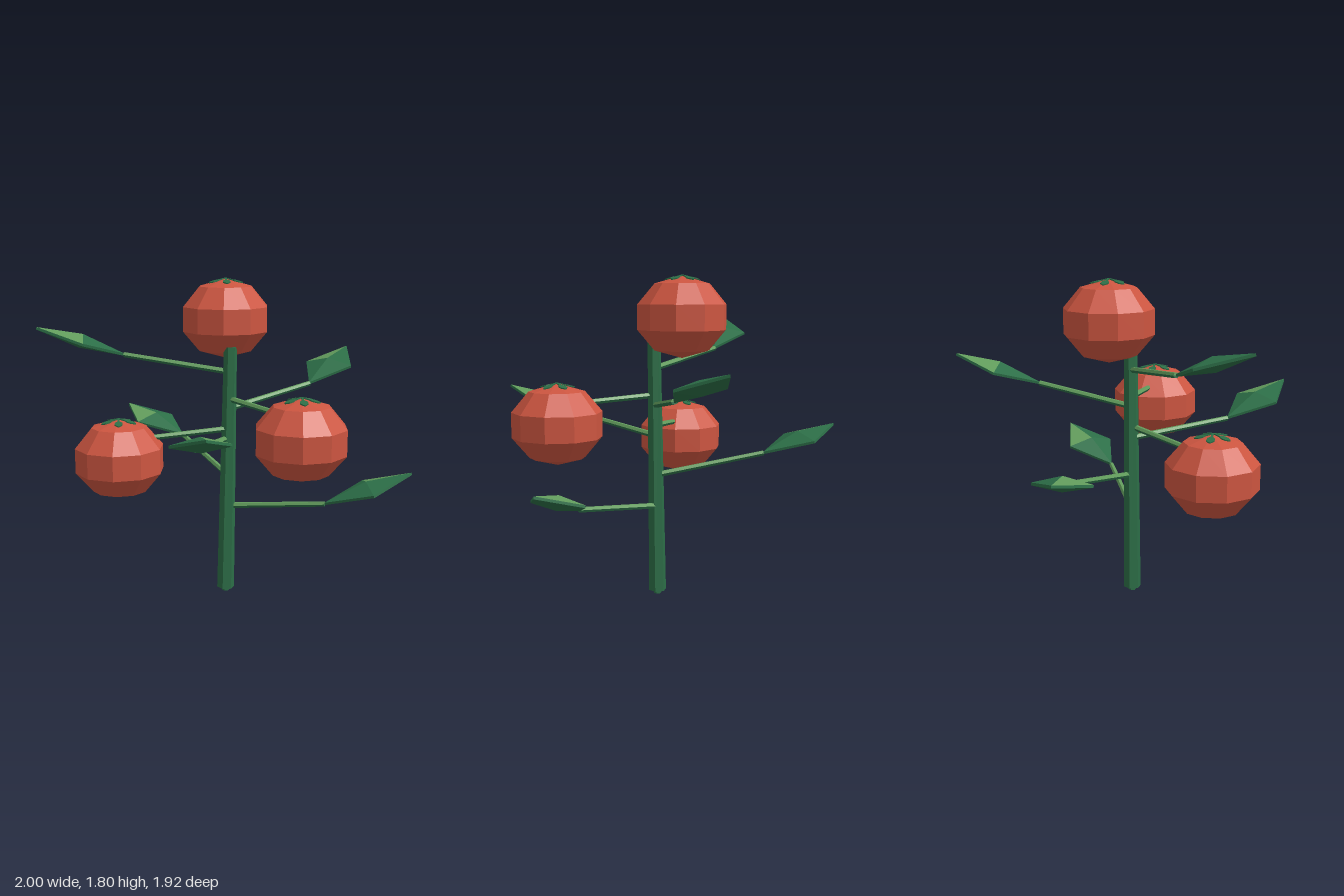
import * as THREE from 'three';

const mat = (name, color, side = THREE.FrontSide) => {
  const m = new THREE.MeshStandardMaterial({ color, flatShading: true, side });
  m.name = name;
  return m;
};
const V = (x, y, z) => new THREE.Vector3(x, y, z);
const UP = V(0, 1, 0);

export function createModel() {
  const red = mat('fruit red', 0xcc5540);
  const dark = mat('dark green', 0x2c6e47);
  const light = mat('light green', 0x629c5c);
  const plant = new THREE.Group();
  plant.name = 'fruitPlant';

  const add = (parent, name, geometry, material) => {
    const mesh = new THREE.Mesh(geometry, material);
    mesh.name = name;
    parent.add(mesh);
    return mesh;
  };

  // Tapered hexagonal stem leaning slightly to +x, with a small foot
  const foot = V(-0.025, 0.02, -0.035), crown = V(0.004, 1.43, -0.035);
  const stem = add(plant, 'stem', new THREE.CylinderGeometry(0.037, 0.05, foot.distanceTo(crown), 6), dark);
  stem.position.lerpVectors(foot, crown, 0.5);
  stem.quaternion.setFromUnitVectors(UP, crown.clone().sub(foot).normalize());
  add(plant, 'stemFoot', new THREE.CylinderGeometry(0.022, 0.022, 0.03, 6), dark).position.set(-0.025, 0.015, -0.035);

  // Thin twig: light upper half, dark lower half
  const addTwig = (parent, a, b) => {
    const dir = b.clone().sub(a), length = dir.length();
    dir.normalize();
    const side = dir.clone().cross(UP).normalize();
    const over = side.clone().cross(dir);
    const twig = new THREE.Group();
    twig.name = 'twig';
    [['twigTop', -Math.PI / 2, light], ['twigUnderside', Math.PI / 2, dark]].forEach(([name, start, m]) =>
      add(twig, name, new THREE.CylinderGeometry(0.015, 0.017, length, 3, 1, false, start, Math.PI), m));
    twig.quaternion.setFromRotationMatrix(new THREE.Matrix4().makeBasis(side, dir, over));
    twig.position.lerpVectors(a, b, 0.5);
    parent.add(twig);
  };

  const faces = (triangles) => {
    const g = new THREE.BufferGeometry().setFromPoints(triangles);
    g.computeVertexNormals();
    return g;
  };

  // Four-cornered leaf with a raised middle; one quarter near the tip is light
  const addLeaf = (parent, base, tip) => {
    const dir = tip.clone().sub(base).normalize();
    const right = dir.clone().cross(UP).normalize();
    const normal = right.clone().cross(dir);
    const mid = base.clone().lerp(tip, 0.5);
    const off = (p, v, s) => p.clone().addScaledVector(v, s);
    const rim = [base, off(mid, right, 0.153), tip, off(mid, right, -0.153)];
    const top = rim.map((p) => off(p, normal, 0.007));
    const low = rim.map((p) => off(p, normal, -0.007));
    const peak = off(mid, normal, 0.045), keel = off(mid, normal, -0.035);
    const body = [], highlight = [];
    for (let i = 0; i < 4; i++) {
      const j = (i + 1) % 4;
      (i === 2 ? highlight : body).push(peak, top[i], top[j]);
      body.push(keel, low[j], low[i]);
      body.push(low[i], low[j], top[j], low[i], top[j], top[i]);
    }
    add(parent, 'leafBlade', faces(body), dark);
    add(parent, 'leafHighlight', faces(highlight), light);
  };

  // Leafy twigs: start on the stem, leaf base, leaf tip
  const leaves = [
    [V(0.0, 1.29, -0.035), V(-0.6, 1.37, 0.06), V(-1.0, 1.53, 0.32)],
    [V(0.0, 0.69, -0.035), V(-0.46, 0.81, -0.44), V(-0.905, 0.945, -0.6)],
    [V(-0.02, 1.08, -0.01), V(0.33, 1.17, -0.5), V(0.445, 1.335, -0.96)],
    [V(-0.01, 0.515, -0.045), V(0.555, 0.585, -0.04), V(0.995, 0.75, -0.23)],
    [V(-0.02, 0.91, -0.03), V(0.025, 0.98, 0.535), V(0.25, 1.14, 0.96)],
  ];
  leaves.forEach(([start, base, tip]) => {
    const branch = new THREE.Group();
    branch.name = 'leafBranch';
    addTwig(branch, start, base);
    addLeaf(branch, base, tip);
    plant.add(branch);
  });

  // Twigs carrying the two lower fruits
  addTwig(plant, V(0, 0.97, -0.03), V(-0.43, 0.93, 0.21));
  addTwig(plant, V(0, 1.14, -0.03), V(0.38, 1.11, 0.17));

  // One thin sepal, narrow at the centre and broad near its end
  const outline = [[0, 0.004], [0.04, 0.006], [0.055, 0.02], [0.08, 0.021], [0.1, 0.004]];
  const sepalShape = new THREE.Shape([
    ...outline.map(([x, y]) => new THREE.Vector2(x, -y)),
    ...outline.slice().reverse().map(([x, y]) => new THREE.Vector2(x, y)),
  ]);
  const sepalGeometry = new THREE.ExtrudeGeometry(sepalShape, { depth: 0.006, bevelEnabled: false });
  sepalGeometry.rotateX(-Math.PI / 2).rotateZ(-0.24);

  // Ten-sided, slightly flattened fruits with five sepals on top
  [V(-0.075, 1.57, -0.17), V(-0.535, 0.825, 0.275), V(0.485, 1.0, 0.22)].forEach((p) => {
    const fruit = new THREE.Group();
    fruit.name = 'fruit';
    fruit.position.copy(p);
    add(fruit, 'fruitBody', new THREE.SphereGeometry(0.2576, 10, 5), red).scale.y = 0.86;
    for (let i = 0; i < 5; i++) {
      const sepal = add(fruit, 'sepal', sepalGeometry, dark);
      sepal.position.y = 0.2205;
      sepal.rotation.y = 0.14 + i * Math.PI * 0.4;
    }
    plant.add(fruit);
  });

  return plant;
}
